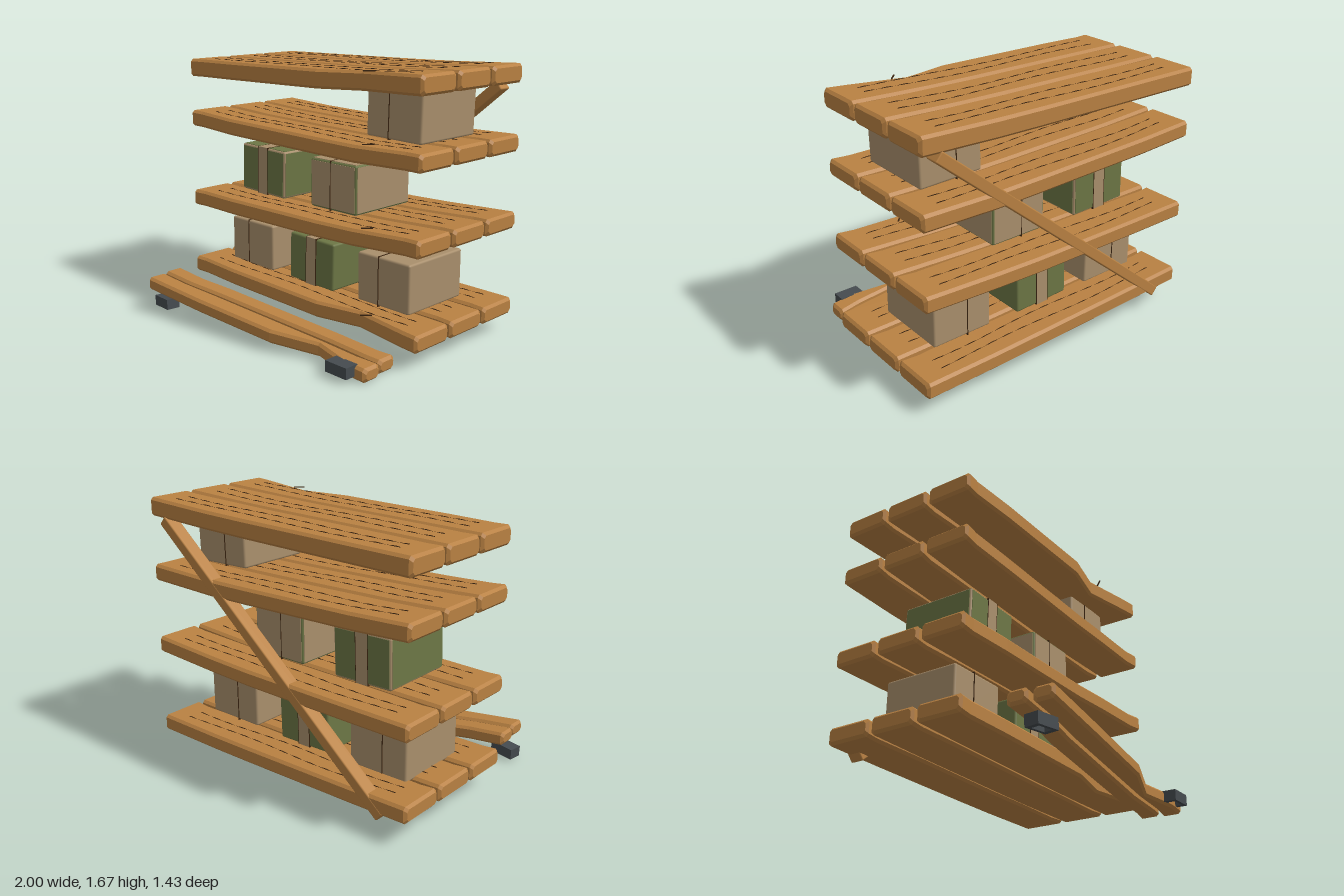
import * as THREE from 'three';
import { mergeGeometries } from 'three/addons/utils/BufferGeometryUtils.js';
import { RoundedBoxGeometry } from 'three/addons/geometries/RoundedBoxGeometry.js';

const mat = (name, color) => {
  const m = new THREE.MeshStandardMaterial({ color });
  m.name = name;
  return m;
};

// Piecewise linear value at x from [x, value] pairs
function at(pairs, x) {
  for (let i = 1; i < pairs.length; i++) {
    const [x0, v0] = pairs[i - 1], [x1, v1] = pairs[i];
    if (x <= x1 || i === pairs.length - 1) return v0 + (v1 - v0) * (x - x0) / (x1 - x0);
  }
}

// Bevelled plank lofted along x; top, back edge and front edge are [x, value] pairs
function plankGeometry(xs, top, back, front, thick) {
  const b = 0.016, pos = [], idx = [], first = xs[0], last = xs[xs.length - 1];
  const stations = [[first, b], [first + b, 0], ...xs.slice(1, -1).map(x => [x, 0]), [last - b, 0], [last, b]];
  for (const [x, inset] of stations) {
    const t = at(top, x) - inset, d = at(top, x) - thick + inset;
    const k = at(back, x) + inset, f = at(front, x) - inset;
    for (const [z, y] of [[f - b, t], [k + b, t], [k, t - b], [k, d + b], [k + b, d], [f - b, d], [f, d + b], [f, t - b]])
      pos.push(x, y, z);
  }
  const n = stations.length;
  for (let i = 0; i < n - 1; i++)
    for (let j = 0; j < 8; j++) {
      const a = i * 8 + j, c = i * 8 + (j + 1) % 8;
      idx.push(a, a + 8, c, c, a + 8, c + 8);
    }
  const e = (n - 1) * 8;
  for (let j = 1; j < 7; j++) idx.push(0, j, j + 1, e, e + j + 1, e + j);
  const g = new THREE.BufferGeometry();
  g.setAttribute('position', new THREE.Float32BufferAttribute(pos, 3));
  g.setIndex(idx);
  const flat = g.toNonIndexed();
  flat.computeVertexNormals();
  return flat;
}

export function createModel() {
  const root = new THREE.Group();
  const wood = mat('wood', 0xb98142), grain = mat('darkGrain', 0x3d2611);
  const tan = mat('cardboard', 0xa98f6c), green = mat('oliveGreen', 0x6c7645), iron = mat('darkIron', 0x454b4f);
  const add = (parent, name, geo, m, x = 0, y = 0, z = 0) => {
    const mesh = new THREE.Mesh(geo, m);
    mesh.name = name;
    mesh.position.set(x, y, z);
    parent.add(mesh);
    return mesh;
  };

  // Four sagging shelves of three planks each
  const xs = [-1, -0.9, -0.6, -0.2, 0.2, 0.5, 0.88, 1];
  const heights = [
    [0.25, 0.238, 0.221, 0.216, 0.215],
    [0.73, 0.73, 0.735, 0.745, 0.77],
    [1.285, 1.265, 1.245, 1.24, 1.25],
    [1.63, 1.636, 1.648, 1.655, 1.675],
  ];
  const knots = [-1, -0.6, 0.2, 0.5, 1];
  heights.forEach((h, s) => {
    const shelf = new THREE.Group();
    shelf.name = 'shelf' + (s + 1);
    root.add(shelf);
    const top = knots.map((x, i) => [x, h[i]]);
    const lines = [];
    [[-0.72, -0.418], [-0.4, -0.097], [-0.078, 0.225]].forEach(([k, f], p) => {
      const notch = p === 2 && (s === 0 || s === 3) ? 0.075 : 0;
      const back = [[-1, k], [1, k]];
      const front = [[-1, f], [-0.9, f - 0.012], [-0.6, f - 0.002], [0.2, f - 0.004], [0.5, f - notch], [0.88, f - 0.014], [1, f]];
      add(shelf, 'plank', plankGeometry(xs, top, back, front, s === 3 ? 0.115 : 0.105), wood);
      // Wavy grain, dipping in and out of the surface
      [0.1, 0.19].forEach((off, l) => {
        const pts = [];
        for (let i = 0; i <= 70; i++) {
          const x = -0.85 + i * 1.7 / 70;
          pts.push(new THREE.Vector3(x, at(top, x) - 0.001 + 0.002 * Math.sin(i * 1.3 + l),
            k + off + 0.012 * Math.sin(x * 5 + p * 2 + l * 1.2)));
        }
        lines.push(new THREE.TubeGeometry(new THREE.CatmullRomCurve3(pts), 140, 0.0035, 4));
      });
    });
    add(shelf, 'grain', mergeGeometries(lines), grain);
    // Splinter crack near the front edge
    const crack = add(shelf, 'splinter', new THREE.BoxGeometry(0.07, 0.006, 0.008), grain, 0.575, at(top, 0.575) + 0.004, 0.17);
    crack.rotation.y = 0.8;
  });

  // Diagonal back brace
  const brace = add(root, 'backBrace', new RoundedBoxGeometry(2.22, 0.068, 0.09, 1, 0.008), wood, 0.035, 0.835, -0.677);
  brace.rotation.z = Math.atan2(1.42, 1.71);

  // Cartons: centre x, centre y, width, height, tilt, style
  const D = 0.5;
  [
    [-0.61, 0.385, 0.41, 0.31, 0, 'tan'],
    [-0.035, 0.383, 0.395, 0.31, -0.025, 'banded'],
    [0.578, 0.385, 0.41, 0.31, 0, 'tan'],
    [-0.49, 0.912, 0.415, 0.31, -0.025, 'panelled'],
    [0.158, 0.91, 0.39, 0.31, 0, 'trimmed'],
    [0.64, 1.41, 0.41, 0.3, -0.025, 'tan'],
  ].forEach(([x, y, w, h, tilt, style]) => {
    const box = new THREE.Group();
    box.name = 'carton';
    box.position.set(x, y, -0.222);
    box.rotation.z = tilt;
    root.add(box);
    const core = style === 'trimmed' || style === 'banded' ? green : tan;
    add(box, 'cartonBody', new RoundedBoxGeometry(w, h, D, 2, 0.014), core);
    if (style === 'trimmed' || style === 'panelled') {
      const skin = style === 'trimmed' ? tan : green, m = 0.024;
      for (const s of [-1, 1]) {
        add(box, 'facePanel', new THREE.BoxGeometry(w - m, h - m, 0.005), skin, 0, 0, s * D / 2);
        add(box, 'sidePanel', new THREE.BoxGeometry(0.005, h - m, D - m), skin, s * w / 2, 0, 0);
        add(box, 'lidPanel', new THREE.BoxGeometry(w - m, 0.005, D - m), skin, 0, s * h / 2, 0);
      }
    }
    if (style === 'banded' || style === 'panelled')
      add(box, 'band', new THREE.BoxGeometry(0.085, h + 0.008, D + 0.008), tan);
    // Dark seam lines
    const seams = style === 'tan' ? [-0.035] : style === 'trimmed' ? [-0.02] : [-0.044, 0.044];
    for (const sx of seams)
      add(box, 'seam', new THREE.BoxGeometry(0.004, h + 0.009, D + 0.009), grain, sx);
  });

  // Two fallen planks leaning in front
  const slope = [[-0.9, 0.238], [-0.4, 0.19], [0.2, 0.14], [0.5, 0.115], [0.9, 0.088]];
  add(root, 'fallenPlankBack', plankGeometry([-0.9, -0.65, -0.4, 0.1, 0.5, 0.78, 0.88], slope,
    [[-0.9, 0.43], [-0.65, 0.42], [-0.4, 0.377], [0.5, 0.29], [0.78, 0.278], [0.88, 0.257]],
    [[-0.9, 0.56], [-0.65, 0.543], [-0.4, 0.505], [0.5, 0.412], [0.78, 0.402], [0.88, 0.392]], 0.085), wood);
  add(root, 'fallenPlankFront', plankGeometry([-0.88, -0.65, -0.4, 0.2, 0.5, 0.75, 0.9], slope,
    [[-0.88, 0.578], [-0.65, 0.565], [-0.4, 0.53], [0.5, 0.44], [0.8, 0.427], [0.9, 0.405]],
    [[-0.88, 0.71], [-0.65, 0.69], [-0.4, 0.668], [0.2, 0.605], [0.5, 0.495], [0.75, 0.545], [0.9, 0.537]], 0.085), wood);

  // Iron brackets, hollow underneath
  [[-0.828, 0.053, 0.6, 0.06], [0.75, 0.065, 0.563, 0]].forEach(([x, y, z, tilt]) => {
    const foot = new THREE.Group();
    foot.name = 'bracket';
    foot.position.set(x, y, z);
    foot.rotation.set(0, -tilt * 2, tilt);
    root.add(foot);
    add(foot, 'bracketTop', new THREE.BoxGeometry(0.16, 0.035, 0.09), iron, 0, 0.0165, 0);
    for (const s of [-1, 1]) {
      add(foot, 'bracketSide', new THREE.BoxGeometry(0.16, 0.035, 0.02), iron, 0, -0.0165, s * 0.035);
      add(foot, 'bracketEnd', new THREE.BoxGeometry(0.03, 0.035, 0.05), iron, s * 0.065, -0.0165, 0);
    }
  });
  return root;
}
